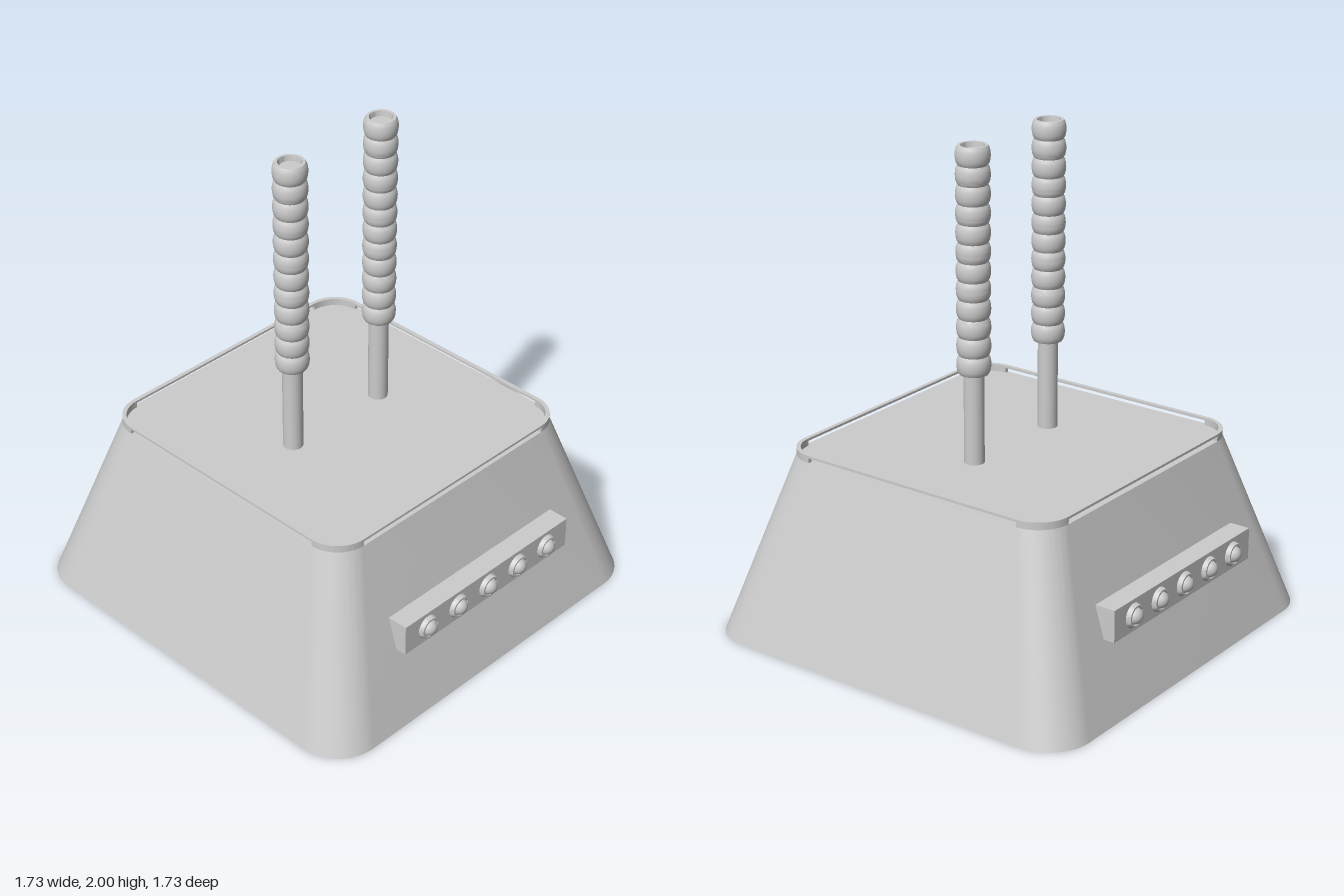
import * as THREE from 'three';
import { toCreasedNormals } from 'three/addons/utils/BufferGeometryUtils.js';

const material = new THREE.MeshStandardMaterial({ color: 0xcccccc });
const BOTTOM = 0.867, TOP = 0.637, DECK_Y = 0.74, RIM_Y = 0.77;
const CORNER = 0.137, WALL = 0.017;

function addMesh(parent, name, geometry) {
  const mesh = new THREE.Mesh(geometry, material);
  mesh.name = name;
  parent.add(mesh);
  return mesh;
}

// Square of half-width h with corners of radius r
function roundedSquare(h, r, Type = THREE.Shape) {
  const s = new Type();
  const c = h - r;
  s.absarc(c, c, r, 0, Math.PI / 2);
  s.absarc(-c, c, r, Math.PI / 2, Math.PI);
  s.absarc(-c, -c, r, Math.PI, Math.PI * 1.5);
  s.absarc(c, -c, r, Math.PI * 1.5, Math.PI * 2);
  s.closePath();
  return s;
}

// Extrude a plan shape upward from y0 to y1
function extrudeUp(shape, y0, y1) {
  return new THREE.ExtrudeGeometry(shape, { depth: y1 - y0, bevelEnabled: false, curveSegments: 14 })
    .rotateX(-Math.PI / 2).translate(0, y0, 0);
}

function createBase() {
  const group = new THREE.Group();
  group.name = 'base';

  // Tapered body with rounded corners
  const body = extrudeUp(roundedSquare(BOTTOM, CORNER * BOTTOM / TOP), 0, DECK_Y);
  const p = body.attributes.position;
  for (let i = 0; i < p.count; i++) {
    const k = 1 + (TOP / BOTTOM - 1) * p.getY(i) / DECK_Y;
    p.setX(i, p.getX(i) * k);
    p.setZ(i, p.getZ(i) * k);
  }
  addMesh(group, 'taperedBody', toCreasedNormals(body, 0.5));

  // Thin top rail, held up by the four corners so a slot is left on each side
  const rail = roundedSquare(TOP, CORNER);
  rail.holes.push(roundedSquare(TOP - WALL, CORNER - WALL, THREE.Path));
  addMesh(group, 'rimRail', toCreasedNormals(extrudeUp(rail, 0.76, RIM_Y), 0.5));

  const corner = new THREE.Shape();
  const c = TOP - CORNER;
  corner.absarc(c, c, CORNER, 0, Math.PI / 2);
  corner.absarc(c, c, CORNER - WALL, Math.PI / 2, 0, true);
  corner.closePath();
  const cornerGeometry = toCreasedNormals(extrudeUp(corner, DECK_Y, 0.76), 0.5);
  for (let i = 0; i < 4; i++) {
    addMesh(group, 'rimCorner', cornerGeometry).rotation.y = i * Math.PI / 2;
  }
  return group;
}

function createLever() {
  const group = new THREE.Group();
  group.name = 'lever';
  const rod = new THREE.CylinderGeometry(0.04, 0.04, 1.24, 32).translate(0, DECK_Y + 0.62, 0);
  addMesh(group, 'rod', rod);

  // Ribbed grip: a stack of rounded beads with a recessed top
  const y0 = 1.105, beads = 12, pitch = (2 - y0) / beads;
  const profile = [new THREE.Vector2(0.04, y0)];
  for (let b = 0; b < beads; b++) {
    for (let i = 0; i <= 8; i++) {
      const t = i / 8;
      const bulge = Math.pow(Math.sin(Math.PI * t), 0.6);
      profile.push(new THREE.Vector2(0.057 + 0.01 * bulge, y0 + (b + t) * pitch));
    }
  }
  profile.push(new THREE.Vector2(0.046, 2), new THREE.Vector2(0.043, 1.975), new THREE.Vector2(0, 1.975));
  addMesh(group, 'grip', toCreasedNormals(new THREE.LatheGeometry(profile, 32), 0.7));
  return group;
}

function createLightBar() {
  const group = new THREE.Group();
  group.name = 'lightBar';
  const wallX = (y) => BOTTOM + (TOP - BOTTOM) * y / DECK_Y - 0.01;

  // Wedge housing, upright on the outside and following the wall inside
  const y0 = 0.3, y1 = 0.43, outer = 0.82, length = 0.926;
  const section = new THREE.Shape([
    new THREE.Vector2(wallX(y0), y0), new THREE.Vector2(outer, y0),
    new THREE.Vector2(outer, y1), new THREE.Vector2(wallX(y1), y1),
  ]);
  addMesh(group, 'housing', new THREE.ExtrudeGeometry(section, { depth: length, bevelEnabled: false })
    .translate(0, 0, -length / 2));

  // Five lamps, each a domed bulb in a collar
  const collar = new THREE.LatheGeometry([
    [0.05, 0], [0.044, 0.018], [0.036, 0.018], [0.032, 0.006],
  ].map(([r, h]) => new THREE.Vector2(r, h)), 28).rotateZ(-Math.PI / 2);
  const collarGeometry = toCreasedNormals(collar, 0.5);
  const bulbGeometry = new THREE.SphereGeometry(0.034, 24, 12, 0, Math.PI * 2, 0, Math.PI / 2)
    .rotateZ(-Math.PI / 2);
  for (let i = -2; i <= 2; i++) {
    addMesh(group, 'lampCollar', collarGeometry).position.set(outer, 0.365, i * 0.17);
    addMesh(group, 'lampBulb', bulbGeometry).position.set(outer + 0.004, 0.365, i * 0.17);
  }
  return group;
}

export function createModel() {
  const model = new THREE.Group();
  model.name = 'controlPedestal';
  model.add(createBase());
  for (const side of [1, -1]) {
    const lever = createLever();
    lever.name = side > 0 ? 'frontLever' : 'backLever';
    lever.position.z = side * 0.238;
    model.add(lever);

    const bar = createLightBar();
    bar.name = side > 0 ? 'leftLightBar' : 'rightLightBar';
    bar.rotation.y = side > 0 ? 0 : Math.PI;
    model.add(bar);
  }
  return model;
}
